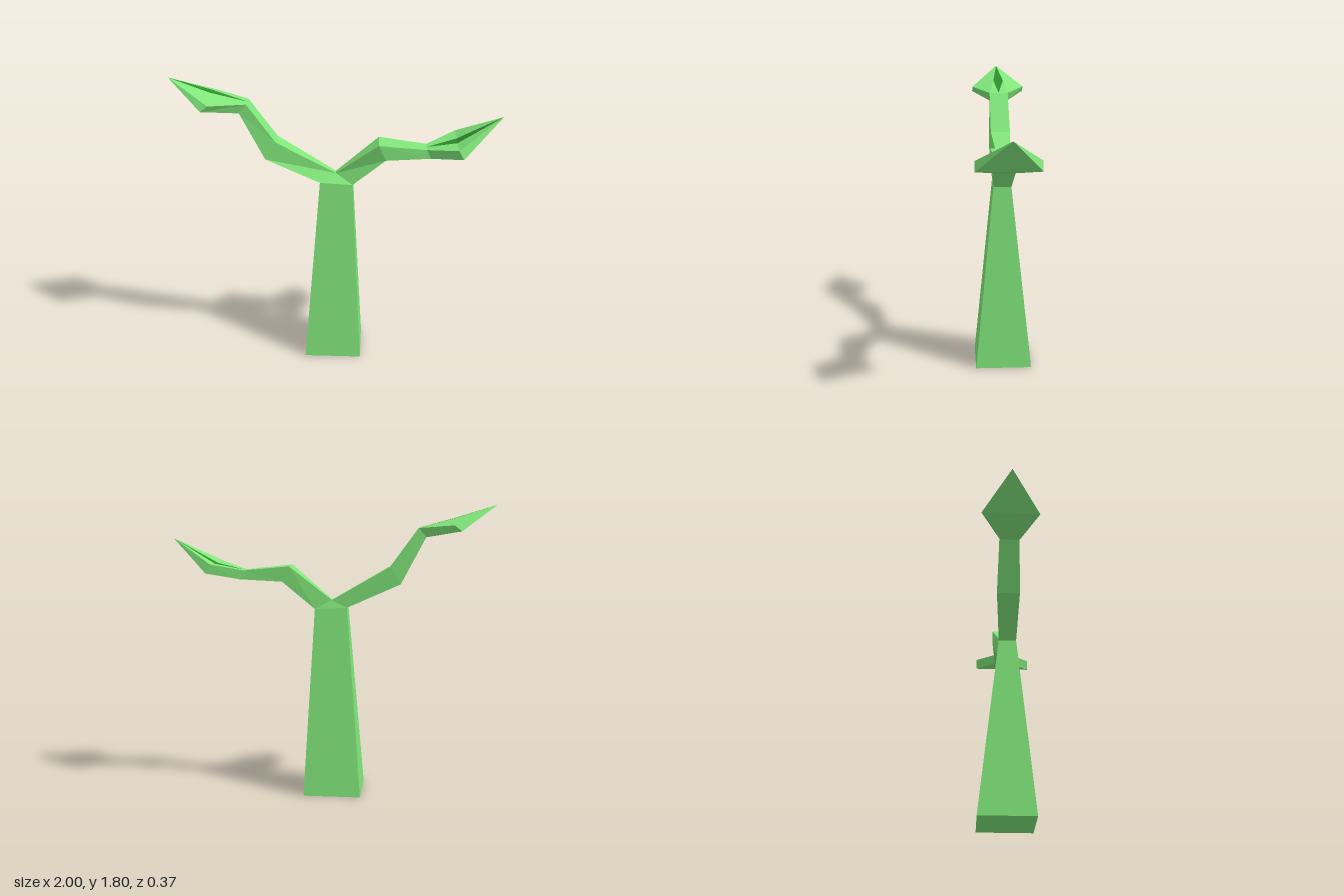
import * as THREE from 'three';

const green = new THREE.MeshStandardMaterial({ color: 0x80e67a, flatShading: true });
const darkGreen = new THREE.MeshStandardMaterial({ color: 0x2f8c2b, flatShading: true });

// Mesh from convex polygons (lists of [x, y, z]); flip reverses the winding
function polyMesh(name, polys, material, flip = false) {
  const pos = [];
  for (const p of polys) {
    for (let i = 1; i < p.length - 1; i++) {
      const tri = flip ? [p[0], p[i + 1], p[i]] : [p[0], p[i], p[i + 1]];
      tri.forEach((v) => pos.push(...v));
    }
  }
  const geo = new THREE.BufferGeometry();
  geo.setAttribute('position', new THREE.Float32BufferAttribute(pos, 3));
  geo.computeVertexNormals();
  const mesh = new THREE.Mesh(geo, material);
  mesh.name = name;
  return mesh;
}

// Four-cornered branch section: top back, top front, bottom front, bottom back
function section([tx, ty], [bx, by], back, front, topBack = back, topFront = front) {
  return [[tx, ty, topBack], [tx, ty, topFront], [bx, by, front], [bx, by, back]];
}

// Side quads between two rings, optionally only some sides
function bridge(a, b, sides = [0, 1, 2, 3]) {
  return sides.map((i) => [a[i], a[(i + 1) % 4], b[(i + 1) % 4], b[i]]);
}

// Bent branch ending in a pointed leaf with a dark vein on top
function makeBranch(name, rings, tip, veinBack, veinFront, flip) {
  const group = new THREE.Group();
  group.name = name;
  const [a, b, c, d] = rings;
  group.add(polyMesh('branch', [...bridge(a, b), ...bridge(b, c)], green, flip));

  const start = c[0].map((v, i) => (v + c[1][i]) / 2);
  const leaf = [
    ...bridge(c, d, [1, 2, 3]),
    ...[1, 2, 3].map((i) => [d[i], d[(i + 1) % 4], tip]),
    [veinFront, start, c[1], d[1]], [veinFront, d[1], tip],
    [veinBack, d[0], c[0], start], [d[0], veinBack, tip],
  ];
  group.add(polyMesh('leaf', leaf, green, flip));
  group.add(polyMesh('leafVein', [[start, veinFront, veinBack], [veinBack, veinFront, tip]], darkGreen, flip));
  return group;
}

export function createModel() {
  const model = new THREE.Group();
  model.name = 'sapling';

  // Tapered square trunk with a pointed fork at the top
  const base = [[-0.19, 0, 0.17], [0.165, 0, 0.17], [0.165, 0, -0.18], [-0.19, 0, -0.18]];
  const top = [[-0.095, 1.175, 0.055], [0.105, 1.165, 0.055], [0.105, 1.165, -0.055], [-0.095, 1.175, -0.055]];
  model.add(polyMesh('trunk', [
    ...bridge(base, top),
    [base[0], base[3], base[2], base[1]],
    [top[0], top[1], [0, 1.22, 0]],
    [top[2], top[3], [0, 1.22, -0.04]],
  ], green));

  // Left branch and leaf (+x)
  model.add(makeBranch('leftBranch', [
    section([0, 1.22], [0.105, 1.165], -0.055, 0.055, -0.04, 0),
    section([0.26, 1.43], [0.305, 1.335], -0.08, 0.075, -0.085, 0.08),
    section([0.55, 1.4], [0.575, 1.345], -0.055, 0.055),
    section([0.73, 1.445], [0.76, 1.39], -0.185, 0.185),
  ], [1, 1.595, -0.005], [0.73, 1.44, -0.05], [0.73, 1.44, 0.035], false));

  // Right branch and leaf (-x), reaching higher
  model.add(makeBranch('rightBranch', [
    section([0, 1.22], [-0.095, 1.175], -0.055, 0.055, -0.04, 0),
    section([-0.36, 1.43], [-0.425, 1.325], -0.08, 0.06, -0.075, 0.05),
    section([-0.53, 1.665], [-0.575, 1.61], -0.07, 0.05),
    section([-0.74, 1.685], [-0.785, 1.65], -0.185, 0.16),
  ], [-1, 1.805, -0.015], [-0.75, 1.725, -0.05], [-0.75, 1.725, 0.015], true));

  return model;
}
